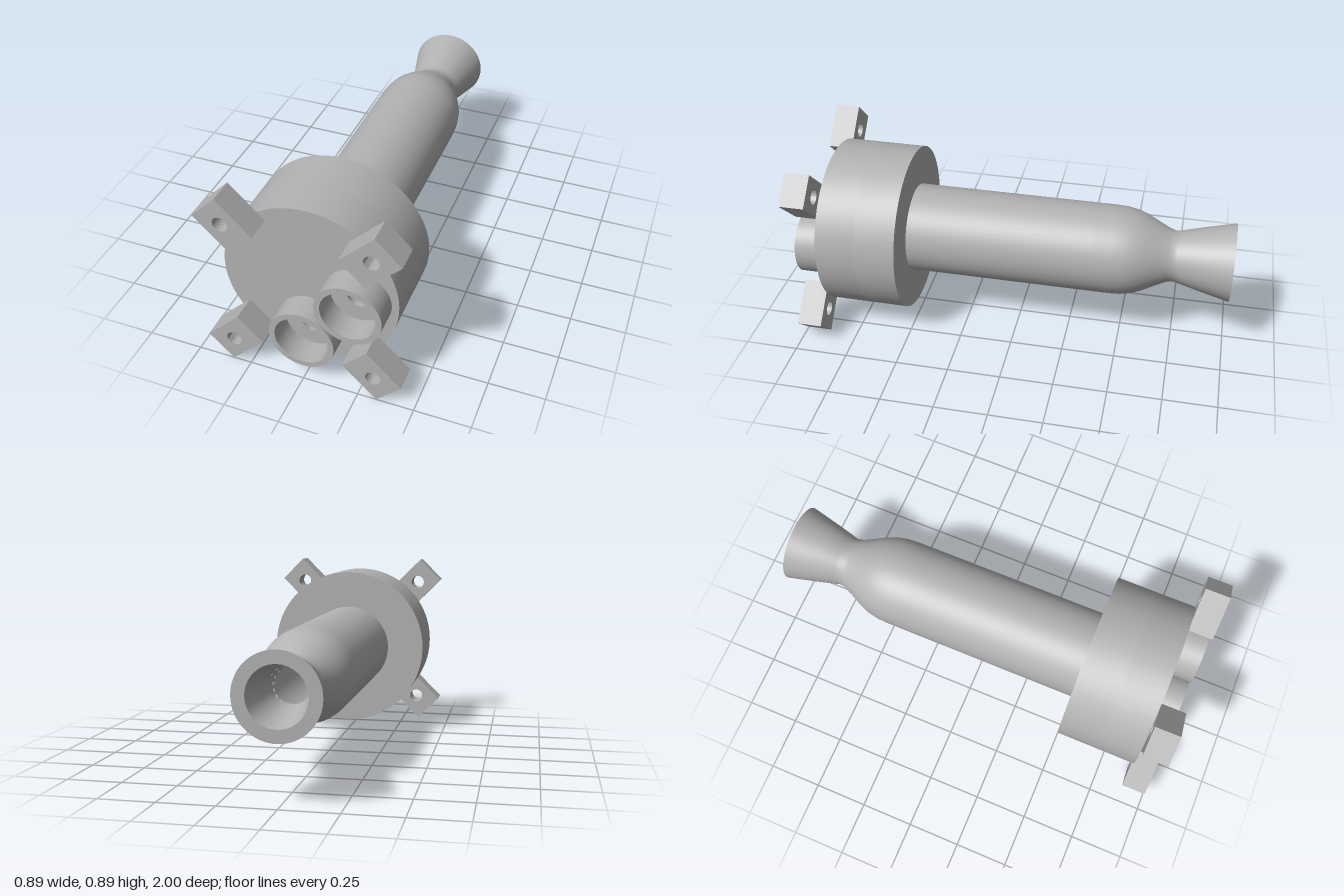
import * as THREE from 'three';
import { toCreasedNormals, mergeGeometries } from 'three/addons/utils/BufferGeometryUtils.js';

const AXIS_Y = 0.4475;
const PORTS = [[0, -0.217], [0.213, 0]];

function circle(x, y, r, Type = THREE.Path) {
  const p = new Type();
  p.absarc(x, y, r, 0, Math.PI * 2, false);
  return p;
}

// extrude a shape along z between two depths, keeping rims sharp
function slab(shape, z0, z1) {
  const g = new THREE.ExtrudeGeometry(shape, { depth: z1 - z0, bevelEnabled: false, curveSegments: 32 });
  g.translate(0, 0, z0);
  return toCreasedNormals(g, 0.5);
}

// revolve [radius, z] points about the z axis
function revolve(points, segments = 64, start = 0, length = Math.PI * 2) {
  const g = new THREE.LatheGeometry(points.map(([r, z]) => new THREE.Vector2(r, z)), segments, start, length);
  return g.rotateX(Math.PI / 2);
}

export function createModel() {
  const model = new THREE.Group();
  model.name = 'rocketEngine';
  const engine = new THREE.Group();
  engine.name = 'engine';
  engine.position.y = AXIS_Y;
  model.add(engine);

  const metal = new THREE.MeshStandardMaterial({ color: 0xb2b2b2, side: THREE.DoubleSide });
  metal.name = 'grey metal';
  const add = (name, geometry, parent = engine) => {
    const mesh = new THREE.Mesh(geometry, metal);
    mesh.name = name;
    parent.add(mesh);
    return mesh;
  };

  // injector head: drilled front half and back half with a narrow drain slit
  const front = circle(0, 0, 0.392, THREE.Shape);
  for (const [x, y] of PORTS) front.holes.push(circle(x, y, 0.045));
  add('injectorHeadFront', slab(front, 0.7, 0.885));
  const back = circle(0, 0, 0.392, THREE.Shape);
  const slit = new THREE.Path();
  slit.moveTo(-0.036, -0.207);
  slit.quadraticCurveTo(0, -0.243, 0.036, -0.207);
  slit.quadraticCurveTo(0, -0.215, -0.036, -0.207);
  back.holes.push(slit);
  add('injectorHeadBack', slab(back, 0.51, 0.7));

  // propellant inlet collars
  for (const [x, y] of PORTS) {
    const ring = circle(x, y, 0.147, THREE.Shape);
    ring.holes.push(circle(x, y, 0.121));
    add('inletCollar', slab(ring, 0.885, 1));
  }

  // four diagonal mounting lugs with bolt holes
  const lug = new THREE.Shape();
  lug.moveTo(0.335, -0.078);
  lug.lineTo(0.549, -0.078);
  lug.lineTo(0.549, 0.078);
  lug.lineTo(0.335, 0.078);
  lug.closePath();
  lug.holes.push(circle(0.4525, 0, 0.034));
  const lugGeometry = slab(lug, 0.885, 1);
  for (let i = 0; i < 4; i++) {
    add('mountingLug', lugGeometry).rotation.z = Math.PI / 4 + i * Math.PI / 2;
  }

  // chamber and bell: rim, outer skin, then hollow inside back to the rim
  const wall = [
    [0.127, -0.985], [0.127, -1], [0.183, -1], [0.15, -0.86], [0.126, -0.765], [0.12, -0.745], [0.12, -0.725],
    [0.128, -0.7], [0.152, -0.65], [0.178, -0.6], [0.197, -0.55], [0.207, -0.5], [0.21, -0.45], [0.21, -0.36],
    [0.21, 0.51], [0, 0.51], [0, 0.49], [0.165, 0.49], [0.165, -0.45], [0.155, -0.52], [0.13, -0.6],
    [0.095, -0.68], [0.078, -0.725], [0.078, -0.735], [0.098, -0.74], [0.15, -0.985], [0.127, -0.985],
  ];
  add('chamberAndBell', toCreasedNormals(revolve(wall), 0.5));

  // perforated bell liner: solid bands alternating with slotted bands
  const radiusAt = z => THREE.MathUtils.mapLinear(z, -1, -0.735, 0.127, 0.078);
  const rows = 5, slots = 18, pitch = 0.265 / rows, turn = Math.PI * 2 / slots;
  const bands = [];
  for (let i = 0; i < rows; i++) {
    const z0 = -1 + i * pitch, z1 = z0 + pitch * 0.68, z2 = z0 + pitch;
    bands.push(revolve([[radiusAt(z1), z1], [radiusAt(z0), z0]], 54));
    for (let j = 0; j < slots; j++) {
      const start = (j + (i % 2) * 0.5) * turn;
      bands.push(revolve([[radiusAt(z2), z2], [radiusAt(z1), z1]], 2, start, turn * 0.55));
    }
  }
  add('bellLiner', mergeGeometries(bands));

  return model;
}
